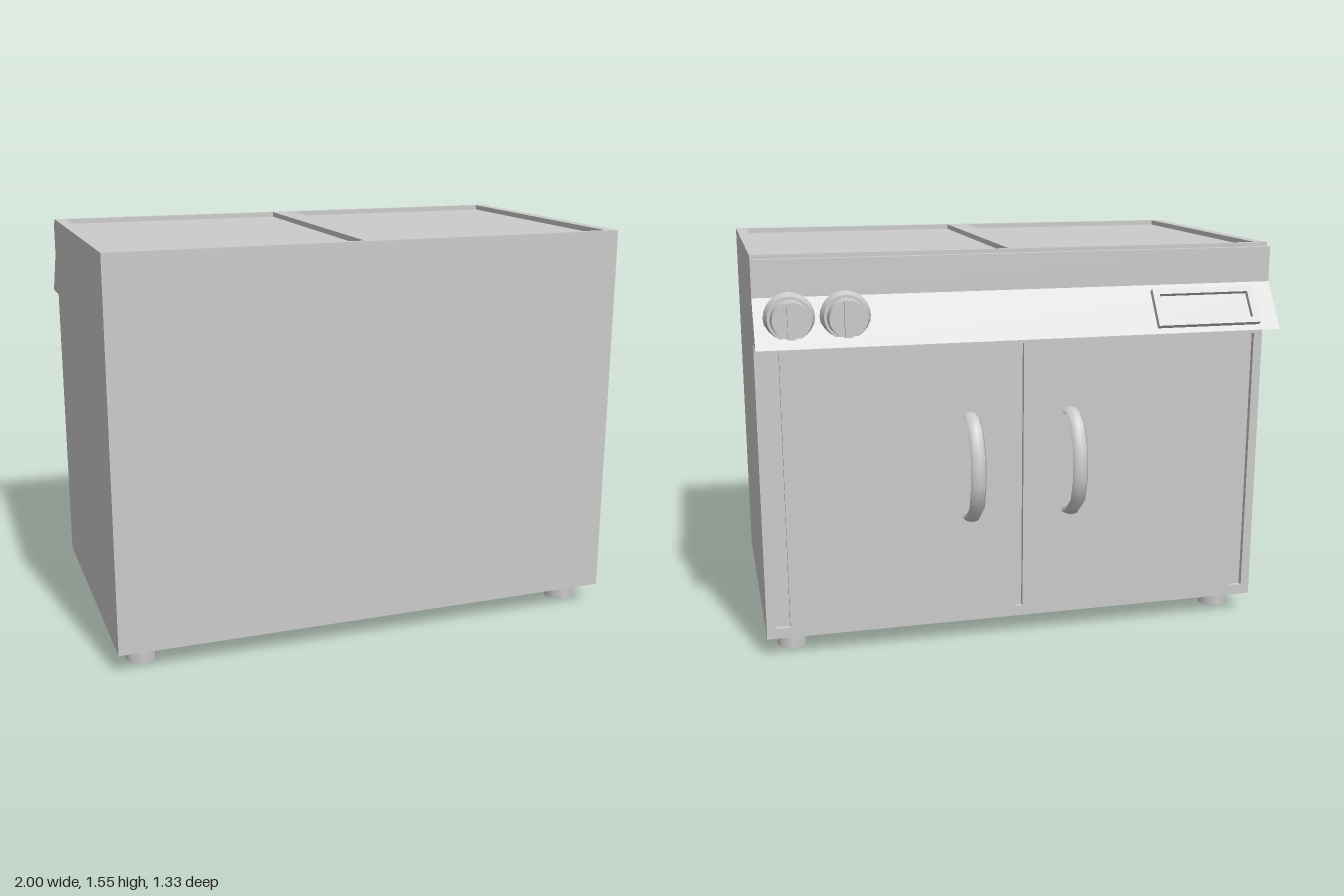
import * as THREE from 'three';

const material = new THREE.MeshStandardMaterial({ color: 0xcccccc });

function add(parent, name, geometry) {
  const mesh = new THREE.Mesh(geometry, material);
  mesh.name = name;
  parent.add(mesh);
  return mesh;
}

const box = (x0, x1, y0, y1, z0, z1) =>
  new THREE.BoxGeometry(x1 - x0, y1 - y0, z1 - z0)
    .translate((x0 + x1) / 2, (y0 + y1) / 2, (z0 + z1) / 2);

const rect = (Type, x0, x1, y0, y1) => new Type([
  new THREE.Vector2(x0, y0), new THREE.Vector2(x1, y0),
  new THREE.Vector2(x1, y1), new THREE.Vector2(x0, y1),
]);

// Rectangular sheet with rectangular openings, extruded along +z
function sheet(outer, openings, depth) {
  const shape = rect(THREE.Shape, ...outer);
  shape.holes = openings.map((o) => rect(THREE.Path, ...o));
  return new THREE.ExtrudeGeometry(shape, { depth, bevelEnabled: false });
}

// Cylinder running from z0 to z1 (towards -z)
const disc = (r0, r1, z0, z1) =>
  new THREE.CylinderGeometry(r1, r0, z0 - z1, 24)
    .rotateX(-Math.PI / 2).translate(0, 0, (z0 + z1) / 2);

function createKnob(x) {
  const knob = new THREE.Group();
  knob.name = 'knob';
  add(knob, 'knobFlange', disc(0.092, 0.08, -0.57, -0.605));
  add(knob, 'knobShaft', disc(0.06, 0.06, -0.53, -0.57));
  add(knob, 'knobDial', disc(0.07, 0.066, -0.605, -0.65));
  add(knob, 'knobGrip', box(-0.013, 0.013, -0.065, 0.065, -0.664, -0.64));
  knob.position.set(x, 1.335, 0);
  return knob;
}

function createHandle(x) {
  const path = new THREE.CurvePath();
  const points = [
    [0.917, -0.47], [0.912, -0.525], [0.882, -0.58], [0.795, -0.624], [0.68, -0.629],
    [0.587, -0.602], [0.521, -0.52], [0.512, -0.47],
  ].map(([y, z]) => new THREE.Vector3(0, y, z));
  for (let i = 1; i < points.length; i++) path.add(new THREE.LineCurve3(points[i - 1], points[i]));
  // Rings sit exactly on the bends, mitred by the neighbouring directions
  const curve = new THREE.Curve();
  const last = points.length - 1;
  curve.getPointAt = (u) => points[Math.round(u * last)].clone();
  curve.getTangentAt = (u) => {
    const i = Math.round(u * last);
    return points[Math.min(i + 1, last)].clone().sub(points[Math.max(i - 1, 0)]).normalize();
  };
  const tube = new THREE.TubeGeometry(curve, last, 0.017, 8, false);
  // Flattened section, wider across the door
  tube.scale(1.75, 1, 1);
  tube.computeVertexNormals();
  return tube.translate(x, 0, 0);
}

export function createModel() {
  const model = new THREE.Group();
  model.name = 'cabinet';

  // Body core, with a top sheet and a door sheet that leave shallow recesses
  add(model, 'bodyCore', box(-1, 1, 0.08, 1.53, -0.46, 0.665));
  add(model, 'topFrame', sheet(
    [-1, 1, -0.665, 0.48],
    [[-0.955, -0.045, -0.643, 0.46], [0.045, 0.955, -0.643, 0.46]],
    0.02,
  ).rotateX(-Math.PI / 2).translate(0, 1.53, 0));
  add(model, 'doorPanels', sheet(
    [-1, 1, 0.08, 1.53],
    [[-0.965, -0.91, 0.12, 1.19], [-0.014, 0.014, 0.12, 1.19], [0.91, 0.965, 0.12, 1.19]],
    0.02,
  ).translate(0, 0, -0.48));

  // Sloping control console along the door side
  const profile = new THREE.Shape([
    [0.48, 1.23], [0.63, 1.23], [0.51, 1.4], [0.51, 1.535], [0.48, 1.535],
  ].map(([u, y]) => new THREE.Vector2(u, y)));
  add(model, 'console', new THREE.ExtrudeGeometry(profile, { depth: 2, bevelEnabled: false })
    .rotateY(Math.PI / 2).translate(-1, 0, 0));

  // Display: raised rim around a recessed screen, square to the slope
  const display = new THREE.Group();
  display.name = 'display';
  add(display, 'displayRim', sheet(
    [-0.207, 0.207, -0.078, 0.078], [[-0.18, 0.18, -0.055, 0.055]], 0.022));
  add(display, 'displayScreen', box(-0.18, 0.18, -0.055, 0.055, -0.005, 0.004));
  display.position.set(-0.708, 1.313, -0.571);
  display.lookAt(-0.708, 1.313 + 0.577, -0.571 - 0.817);
  model.add(display);

  for (const x of [0.675, 0.875]) model.add(createKnob(x));

  // Door handles and feet
  for (const side of [-1, 1]) {
    add(model, 'doorHandle', createHandle(side * 0.2)).material = material;
    for (const z of [0.535, -0.345]) {
      add(model, 'foot', new THREE.CylinderGeometry(0.059, 0.059, 0.08, 8)
        .translate(side * 0.895, 0.04, z));
    }
  }
  return model;
}
